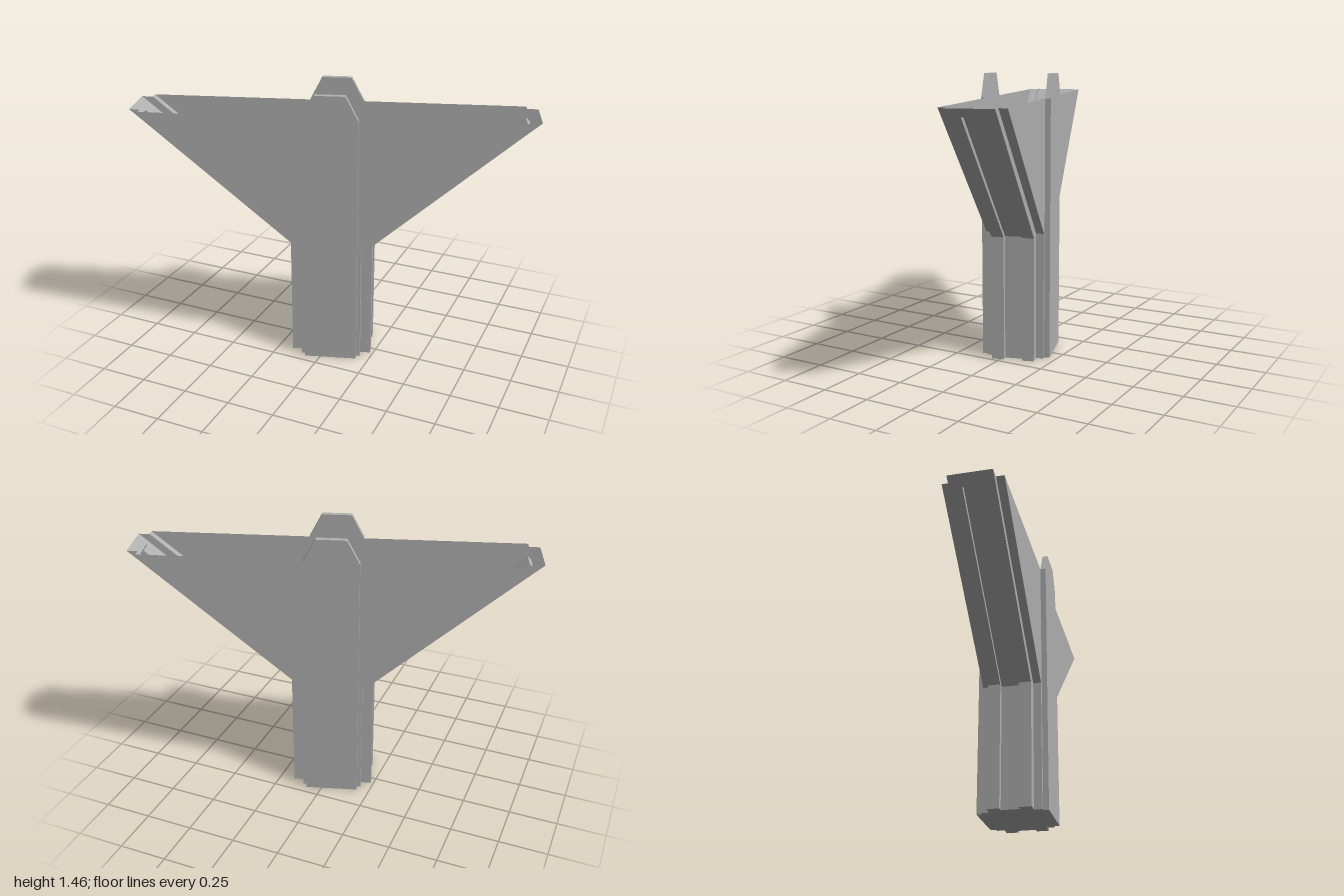
import * as THREE from 'three';

export function createModel() {
  const gray = new THREE.MeshStandardMaterial({ color: 0xb0b0b0, side: THREE.DoubleSide, flatShading: true });
  gray.name = 'plain gray';

  const model = new THREE.Group();
  model.name = 'wingedPillar';
  const add = (name, geometry, parent = model) => {
    const mesh = new THREE.Mesh(geometry, gray);
    mesh.name = name;
    parent.add(mesh);
    return mesh;
  };

  // Silhouettes [u, y] of the stepped end: set-back edge, main band, recessed slot
  const edge = [[0.157, 0], [0.157, 0.66], [0.908, 1.3], [0.908, 1.3], [0.955, 1.34]];
  const band = [[0.212, 0], [0.212, 0.645], [0.964, 1.3], [0.964, 1.3], [1.011, 1.34]];
  const slot = [[0.182, 0], [0.182, 0.645], [0.946, 1.317], [0.964, 1.3], [1.011, 1.34]];
  const stations = [
    [0.15, edge], [0.11, edge], [0.11, band], [0.047, band], [0.047, slot],
    [-0.047, slot], [-0.047, band], [-0.11, band], [-0.11, edge], [-0.15, edge],
  ];

  // Surface through the stations, from one side of the end to the other
  function endGeometry() {
    const pos = [], index = [], n = edge.length;
    for (const [z, profile] of stations) for (const [x, y] of profile) pos.push(x, y, z);
    for (let i = 0; i < stations.length - 1; i++) {
      for (let j = 0; j < n - 1; j++) {
        const a = i * n + j, b = a + n;
        index.push(a, b, b + 1, a, b + 1, a + 1);
      }
    }
    const g = new THREE.BufferGeometry();
    g.setAttribute('position', new THREE.Float32BufferAttribute(pos, 3));
    g.setIndex(index);
    g.computeVertexNormals();
    return g;
  }

  const toShape = (pts) => new THREE.Shape(pts.map(([x, y]) => new THREE.Vector2(x, y)));
  const mirrored = (pts) => [...pts, ...pts.map(([x, y]) => [-x, y]).reverse()];

  // Wide side wall and the raised pylon on it
  const wall = new THREE.ShapeGeometry(toShape(mirrored([edge[0], edge[1], edge[4]])));
  wall.translate(0, 0, 0.15);
  const pylon = new THREE.ExtrudeGeometry(
    toShape(mirrored([[0.138, 0], [0.138, 1.34], [0.075, 1.46]])),
    { depth: 0.028, bevelEnabled: false });
  pylon.translate(0, 0, 0.15);
  const end = endGeometry();

  // Both halves are the same, turned half a circle
  ['left', 'right'].forEach((side, i) => {
    const half = new THREE.Group();
    half.name = side + 'Half';
    half.rotation.y = i * Math.PI;
    add('steppedWingEnd', end, half);
    add('sideWall', wall, half);
    add('pylon', pylon, half);
    model.add(half);
  });

  // Floor of the open trough and underside of the column
  const half = stations.map(([z, p]) => [p[0][0], z]);
  const section = toShape([...half, ...half.map(([x, z]) => [-x, -z])]);
  const floor = new THREE.ShapeGeometry(section).rotateX(-Math.PI / 2);
  add('troughFloor', floor).position.y = 0.65;
  add('columnBase', new THREE.ShapeGeometry(section).rotateX(Math.PI / 2));

  model.rotation.y = 0.3;
  const root = new THREE.Group();
  root.name = 'model';
  root.add(model);
  return root;
}
